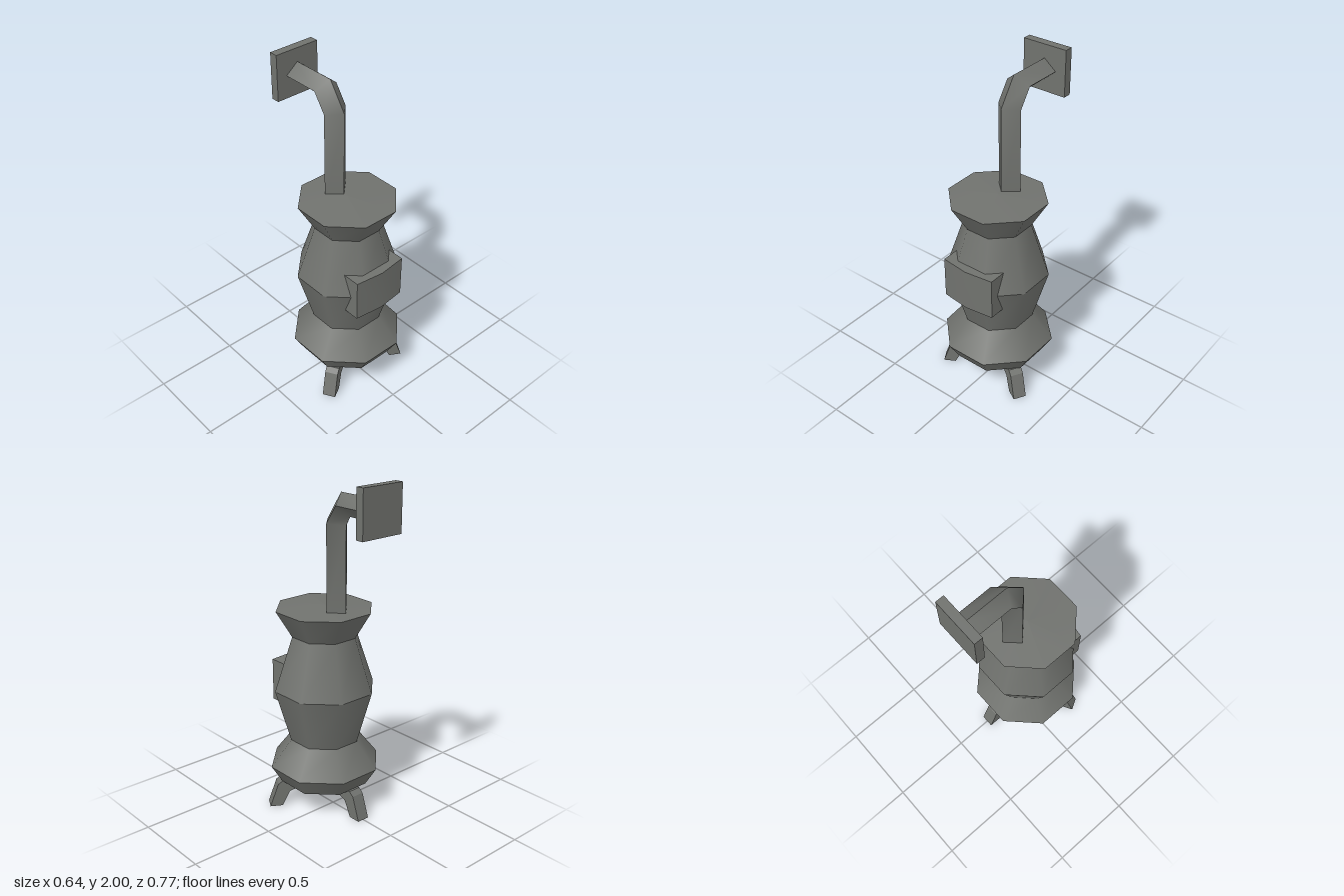
import * as THREE from 'three';
import { toCreasedNormals } from 'three/addons/utils/BufferGeometryUtils.js';

const BODY_Z = 0.075;

export function createModel() {
  const model = new THREE.Group();
  model.name = 'potbellyStove';
  const iron = new THREE.MeshStandardMaterial({ color: 0x70726e });
  iron.name = 'castIron';

  const add = (name, geometry, parent = model) => {
    const mesh = new THREE.Mesh(geometry, iron);
    mesh.name = name;
    parent.add(mesh);
    return mesh;
  };
  const polygon = (points) => new THREE.Shape(points.map(([x, y]) => new THREE.Vector2(x, y)));

  // Octagonal body: stacked bands, each smooth around, with sharp rims between.
  const body = new THREE.Group();
  body.name = 'body';
  body.position.z = BODY_Z;
  model.add(body);
  // [distance from axis to flat side, height]
  const profile = [
    [0, 0.15], [0.25, 0.165], [0.31, 0.27], [0.195, 0.432],
    [0.28, 0.755], [0.18, 1.08], [0.267, 1.24], [0, 1.255],
  ];
  const names = ['floor', 'baseLower', 'baseUpper', 'bellyLower', 'bellyUpper', 'collar', 'lid'];
  const corner = 1 / Math.cos(Math.PI / 8);
  names.forEach((name, i) => {
    const [r0, y0] = profile[i];
    const [r1, y1] = profile[i + 1];
    const band = new THREE.CylinderGeometry(r1 * corner, r0 * corner, y1 - y0, 8, 1, true, Math.PI / 8);
    add(name, band.translate(0, (y0 + y1) / 2, 0), body);
  });

  // Three bent legs spaced evenly around the base.
  const legShape = polygon([
    [0.27, 0], [0.345, 0], [0.295, 0.145], [0.265, 0.168],
    [0.17, 0.168], [0.17, 0.115], [0.225, 0.092],
  ]);
  const legGeometry = new THREE.ExtrudeGeometry(legShape, { depth: 0.078, bevelEnabled: false });
  legGeometry.translate(0, 0, -0.039);
  ['backLeg', 'frontRightLeg', 'frontLeftLeg'].forEach((name, i) => {
    add(name, legGeometry, body).rotation.y = Math.PI / 2 + (i * Math.PI * 2) / 3;
  });

  // Door box with a slightly bowed front.
  const doorShape = polygon([[-0.172, 0.24], [0.172, 0.24], [0.172, 0.349], [0, 0.37], [-0.172, 0.349]]);
  const door = new THREE.ExtrudeGeometry(doorShape, { depth: 0.255, bevelEnabled: false });
  door.rotateX(Math.PI / 2).translate(0, 0.885, 0);
  add('door', toCreasedNormals(door, 0.6));

  // Diamond-section flue pipe; each ring gives [z, y] of outer, side and inner ridges.
  const rings = [
    [[0.045, 1.2], [-0.03, 1.2], [-0.107, 1.2]],
    [[0.045, 1.76], [-0.03, 1.752], [-0.107, 1.742]],
    [[-0.065, 1.92], [-0.105, 1.86], [-0.137, 1.795]],
    [[-0.345, 1.92], [-0.345, 1.86], [-0.345, 1.795]],
  ];
  const positions = [];
  const index = [];
  rings.forEach(([outer, side, inner], i) => {
    positions.push(0, outer[1], outer[0], 0.076, side[1], side[0]);
    positions.push(0, inner[1], inner[0], -0.076, side[1], side[0]);
    if (i === rings.length - 1) return;
    for (let j = 0; j < 4; j++) {
      const a = i * 4 + j;
      const b = i * 4 + ((j + 1) % 4);
      index.push(a, b, b + 4, a, b + 4, a + 4);
    }
  });
  const pipe = new THREE.BufferGeometry();
  pipe.setAttribute('position', new THREE.Float32BufferAttribute(positions, 3));
  pipe.setIndex(index);
  add('fluePipe', toCreasedNormals(pipe, 1.0));

  // Wall plate at the end of the flue.
  add('wallPlate', new THREE.BoxGeometry(0.28, 0.275, 0.051).translate(0, 1.8625, -0.3595));

  return model;
}
